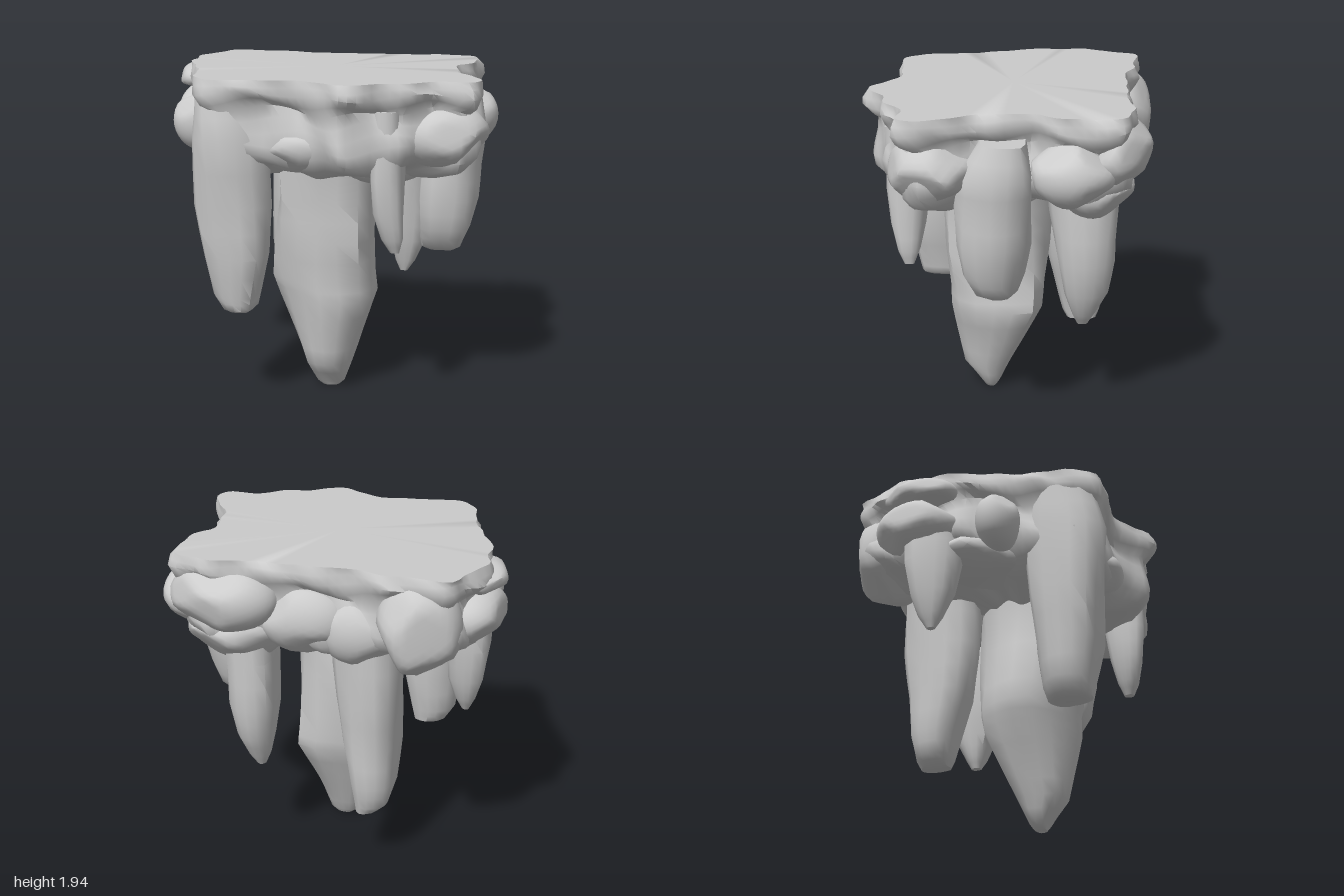
import * as THREE from 'three';
import { mergeVertices, toCreasedNormals } from 'three/addons/utils/BufferGeometryUtils.js';

const material = new THREE.MeshStandardMaterial({ color: 0xcccccc });

// small seeded random generator
function seeded(seed) {
  let s = seed * 7919 + 17;
  return () => (s = (s * 16807) % 2147483647) / 2147483647;
}

function addMesh(group, name, geometry, crease) {
  const mesh = new THREE.Mesh(toCreasedNormals(geometry, crease), material);
  mesh.name = name;
  group.add(mesh);
}

// closed skin over rings of points listed from top to bottom
function loft(rings) {
  const n = rings[0].length, points = rings.flat(), index = [];
  for (let r = 0; r < rings.length - 1; r++) {
    for (let i = 0; i < n; i++) {
      const a = r * n + i, b = r * n + (i + 1) % n;
      index.push(a, b, a + n, b, b + n, a + n);
    }
  }
  const cap = (ring, start, up) => {
    const c = new THREE.Vector3();
    ring.forEach(p => c.addScaledVector(p, 1 / n));
    points.push(c);
    for (let i = 0; i < n; i++) {
      const a = start + i, b = start + (i + 1) % n;
      index.push(points.length - 1, up ? b : a, up ? a : b);
    }
  };
  cap(rings[0], 0, true);
  cap(rings[rings.length - 1], (rings.length - 1) * n, false);
  const g = new THREE.BufferGeometry().setFromPoints(points);
  g.setIndex(index);
  return g;
}

// hanging spike: each level is [y, xMin, xMax, zMin, zMax]
function spike(levels, seed) {
  const rand = seeded(seed), sides = 16, p1 = rand() * 6, p2 = rand() * 6;
  const rings = [];
  levels.forEach((l, k) => {
    const steps = k < levels.length - 1 ? 2 : 1;
    for (let s = 0; s < steps; s++) {
      const v = s ? l.map((q, j) => (q + levels[k + 1][j]) / 2) : l;
      const [y, x0, x1, z0, z1] = v, ring = [];
      for (let i = 0; i < sides; i++) {
        const a = i / sides * Math.PI * 2, c = Math.cos(a), d = Math.sin(a);
        const square = 1 / Math.pow(c ** 4 + d ** 4, 0.12);
        const m = square * (0.99 + 0.05 * Math.sin(3 * a + p1 + y * 4) + 0.03 * Math.sin(5 * a + p2 - y * 5));
        ring.push(new THREE.Vector3((x0 + x1) / 2 + c * m * (x1 - x0) / 2, y, (z0 + z1) / 2 + d * m * (z1 - z0) / 2));
      }
      rings.push(ring);
    }
  });
  return loft(rings);
}

// boulder: a sphere chipped flat by random planes
function boulder([x, y, z, rx, ry, rz], seed) {
  const rand = seeded(seed);
  let g = new THREE.IcosahedronGeometry(1.06, 5);
  g.deleteAttribute('normal');
  g.deleteAttribute('uv');
  g = mergeVertices(g, 1e-4);
  const planes = [];
  for (let i = 0; i < 13; i++) {
    const n = new THREE.Vector3(rand() - 0.5, rand() - 0.5, rand() - 0.5).normalize();
    planes.push([n, 0.82 + rand() * 0.16]);
  }
  const pos = g.attributes.position, p = new THREE.Vector3();
  for (let i = 0; i < pos.count; i++) {
    p.fromBufferAttribute(pos, i);
    for (const [n, d] of planes) {
      const over = p.dot(n) - d;
      if (over > 0) p.addScaledVector(n, -over * 0.85);
    }
    pos.setXYZ(i, x + p.x * rx, y + p.y * ry, z + p.z * rz);
  }
  return g;
}

// rock slab with a flat top and a ragged, lumpy rim
function slab() {
  const outline = [
    [-0.81, -0.69], [-0.73, -0.75], [-0.55, -0.73], [-0.38, -0.73], [-0.2, -0.68], [0, -0.7], [0.25, -0.7],
    [0.45, -0.72], [0.64, -0.75], [0.82, -0.68], [0.86, -0.5], [0.83, -0.3], [0.77, -0.2], [0.79, -0.02],
    [0.83, 0.14], [0.94, 0.32], [0.99, 0.45], [0.93, 0.53], [0.72, 0.55], [0.6, 0.66], [0.42, 0.71],
    [0.26, 0.82], [0.12, 0.74], [0, 0.68], [-0.3, 0.7], [-0.5, 0.73], [-0.65, 0.63], [-0.69, 0.42],
    [-0.8, 0.1], [-0.89, -0.08], [-0.88, -0.2], [-0.92, -0.38], [-0.86, -0.52]];
  const curve = new THREE.CatmullRomCurve3(outline.map(([x, z]) => new THREE.Vector3(x, 0, z)), true, 'centripetal');
  const base = curve.getSpacedPoints(120).slice(0, 120);
  const levels = [[1.94, 0.975], [1.9, 0.99], [1.86, 1.0], [1.81, 0.97], [1.77, 0.92], [1.71, 0.93],
    [1.64, 0.95], [1.57, 0.96], [1.5, 0.94], [1.44, 0.87], [1.39, 0.7], [1.36, 0.4]];
  return loft(levels.map(([y, s], k) => base.map((p, i) => {
    const t = i / 120 * Math.PI * 2;
    const lump = k === 0
      ? 0.008 * Math.sin(19 * t) + 0.006 * Math.sin(31 * t)
      : 0.014 * Math.sin(9 * t + y * 9) + 0.013 * Math.sin(19 * t - y * 14) + 0.006 * Math.sin(31 * t);
    const dip = 0.02 * Math.sin(11 * t + k) + 0.012 * Math.sin(6 * t);
    return new THREE.Vector3(p.x * (s + lump), y + dip * Math.min(1, k / 3), p.z * (s + lump));
  })));
}

export function createModel() {
  const group = new THREE.Group();
  group.name = 'hangingRock';
  addMesh(group, 'rockSlab', slab(), 0.9);

  // boulders under the rim: centre and radii
  const boulders = [
    [-0.81, 1.63, -0.3, 0.18, 0.16, 0.25], [-0.73, 1.62, 0.17, 0.16, 0.17, 0.12],
    [-0.56, 1.62, -0.6, 0.23, 0.28, 0.23], [-0.84, 1.83, -0.28, 0.14, 0.09, 0.22],
    [0.73, 1.62, 0.34, 0.26, 0.18, 0.26], [0.77, 1.62, -0.4, 0.2, 0.18, 0.23],
    [0.54, 1.7, -0.63, 0.3, 0.19, 0.2], [0.5, 1.48, -0.52, 0.28, 0.17, 0.21],
    [0.1, 1.6, -0.56, 0.26, 0.2, 0.17], [-0.2, 1.55, -0.54, 0.25, 0.2, 0.16],
    [-0.06, 1.56, 0.5, 0.26, 0.15, 0.18], [0.3, 1.58, 0.48, 0.26, 0.16, 0.2],
    [0.35, 1.42, 0.1, 0.29, 0.13, 0.32], [-0.5, 1.48, -0.1, 0.34, 0.12, 0.38]];
  boulders.forEach((b, i) => addMesh(group, 'boulder' + (i + 1), boulder(b, i + 3), 1.0));

  // spikes hanging from the underside
  const spikes = {
    centreSpike: [[1.5, -0.26, 0.34, -0.22, 0.43], [1.2, -0.25, 0.31, -0.23, 0.41], [0.95, -0.28, 0.31, -0.23, 0.4],
      [0.7, -0.3, 0.32, -0.22, 0.36], [0.58, -0.26, 0.33, -0.21, 0.35], [0.35, -0.17, 0.24, -0.1, 0.31],
      [0.17, -0.1, 0.18, -0.01, 0.28], [0.03, -0.04, 0.13, 0.06, 0.17], [0, 0, 0.1, 0.08, 0.15]],
    frontLeftSpike: [[1.84, -0.66, -0.36, 0.3, 0.68], [1.6, -0.68, -0.24, 0.26, 0.73], [1.2, -0.66, -0.23, 0.28, 0.7],
      [0.9, -0.61, -0.24, 0.3, 0.68], [0.66, -0.57, -0.3, 0.33, 0.63], [0.58, -0.52, -0.32, 0.35, 0.61],
      [0.56, -0.49, -0.35, 0.4, 0.57]],
    frontRightSpike: [[1.78, 0.37, 0.55, 0.42, 0.66], [1.4, 0.36, 0.55, 0.42, 0.67], [1.2, 0.38, 0.55, 0.45, 0.65],
      [1.05, 0.43, 0.55, 0.48, 0.61], [0.97, 0.48, 0.53, 0.51, 0.57]],
    sideSpike: [[1.79, 0.58, 0.92, -0.16, 0.09], [1.6, 0.58, 0.95, -0.2, 0.22], [1.4, 0.57, 0.92, -0.19, 0.24],
      [1.2, 0.56, 0.91, -0.18, 0.24], [1.02, 0.57, 0.87, -0.14, 0.21], [0.9, 0.58, 0.82, -0.1, 0.14],
      [0.87, 0.62, 0.78, -0.07, 0.07]],
    backSideSpike: [[1.5, 0.3, 0.58, -0.67, -0.26], [1.3, 0.29, 0.58, -0.66, -0.27], [1.0, 0.29, 0.58, -0.64, -0.31],
      [0.8, 0.32, 0.54, -0.6, -0.35], [0.66, 0.35, 0.48, -0.53, -0.4], [0.59, 0.38, 0.43, -0.49, -0.43]],
    backSpike: [[1.5, -0.44, -0.04, -0.64, -0.16], [1.1, -0.43, -0.06, -0.62, -0.16], [0.8, -0.42, -0.08, -0.58, -0.2],
      [0.55, -0.4, -0.13, -0.57, -0.27], [0.41, -0.36, -0.16, -0.54, -0.31], [0.36, -0.3, -0.17, -0.52, -0.34]],
    farSideSpike: [[1.6, -0.9, -0.64, -0.4, -0.04], [1.4, -0.9, -0.66, -0.39, -0.05], [1.2, -0.87, -0.67, -0.35, -0.09],
      [1.07, -0.83, -0.71, -0.3, -0.15], [0.99, -0.79, -0.75, -0.25, -0.2]]
  };
  Object.entries(spikes).forEach(([name, levels], i) => addMesh(group, name, spike(levels, i + 5), 0.9));
  return group;
}
